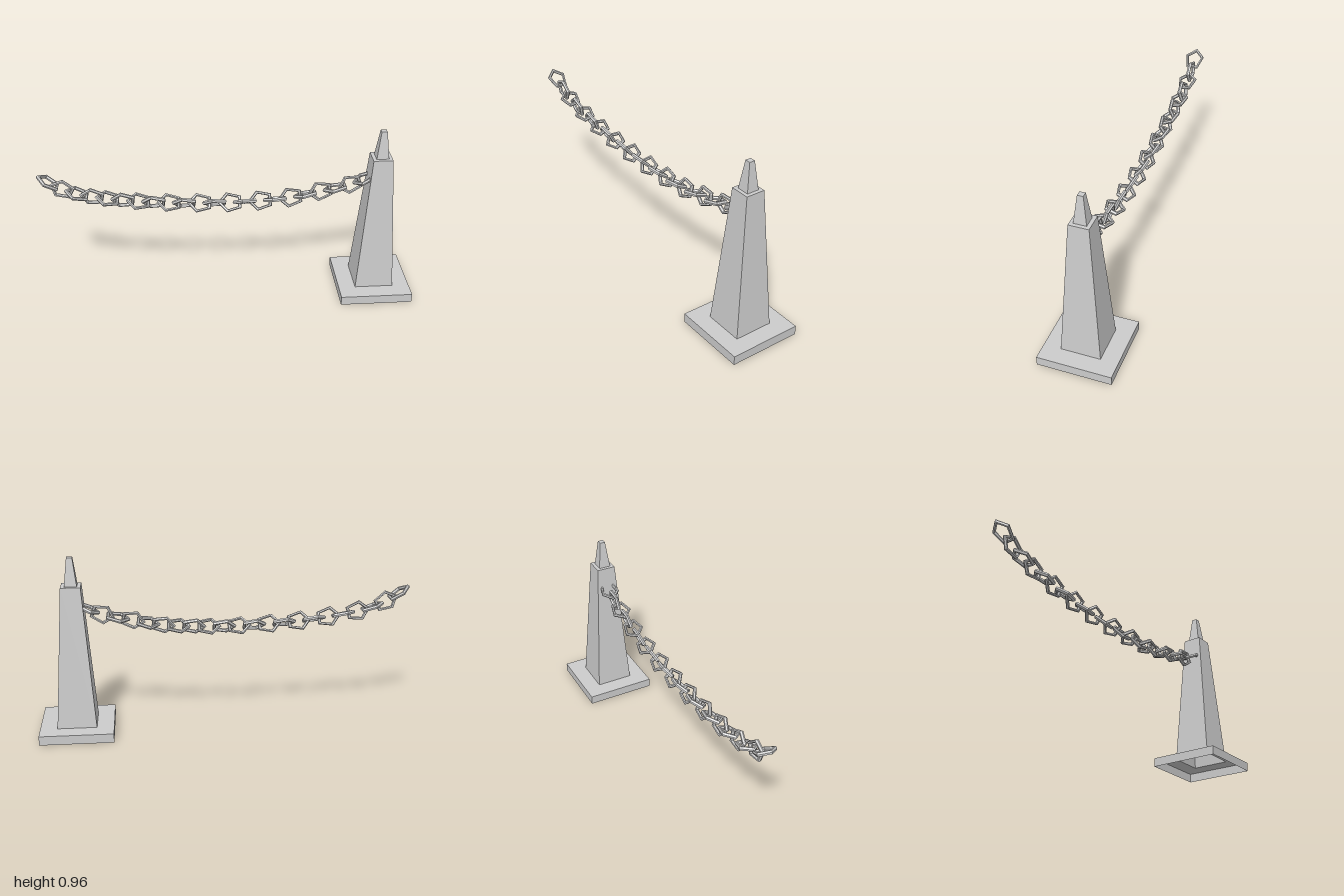
import * as THREE from 'three';

export function createModel() {
  const model = new THREE.Group();
  const material = new THREE.MeshStandardMaterial({
    color: 0xcccccc, flatShading: true, side: THREE.DoubleSide,
  });

  // Hollow square post, open underneath: [half width, height]
  const profile = [
    [0.197, 0], [0.197, 0.05], [0.105, 0.05], [0.052, 0.815],
    [0.033, 0.815], [0.015, 0.965], [0, 0.965],
  ].map(([half, y]) => new THREE.Vector2(half * Math.SQRT2, y));
  const postGeometry = new THREE.LatheGeometry(profile, 4).rotateY(Math.PI / 4);
  const post = new THREE.Mesh(postGeometry, material);
  post.name = 'post';
  post.position.x = 0.8;
  model.add(post);

  // Sagging path through the link centres
  const path = new THREE.CatmullRomCurve3([
    [-0.945, 0.727], [-0.89, 0.69], [-0.8, 0.652], [-0.65, 0.618],
    [-0.4, 0.586], [-0.05, 0.568], [0.17, 0.573], [0.33, 0.586],
    [0.49, 0.618], [0.65, 0.655], [0.72, 0.687],
  ].map(([x, y]) => new THREE.Vector3(x, y, 0)));
  path.arcLengthDivisions = 400;

  // Five-sided links, each a little past a quarter turn from the last
  const linkGeometry = new THREE.TorusGeometry(0.06, 0.011, 6, 5)
    .scale(1, 0.8, 1)
    .rotateZ(Math.PI);
  const chain = new THREE.Group();
  chain.name = 'chain';
  const count = 22;
  for (let i = 0; i < count; i++) {
    const t = i / (count - 1);
    const tangent = path.getTangentAt(t);
    const link = new THREE.Mesh(linkGeometry, material);
    link.name = 'chainLink';
    link.position.copy(path.getPointAt(t));
    const twist = (Math.PI / 2) * (1 + i + t);
    link.rotation.set(twist, 0, Math.atan2(tangent.y, tangent.x), 'ZYX');
    chain.add(link);
  }
  model.add(chain);

  return model;
}
